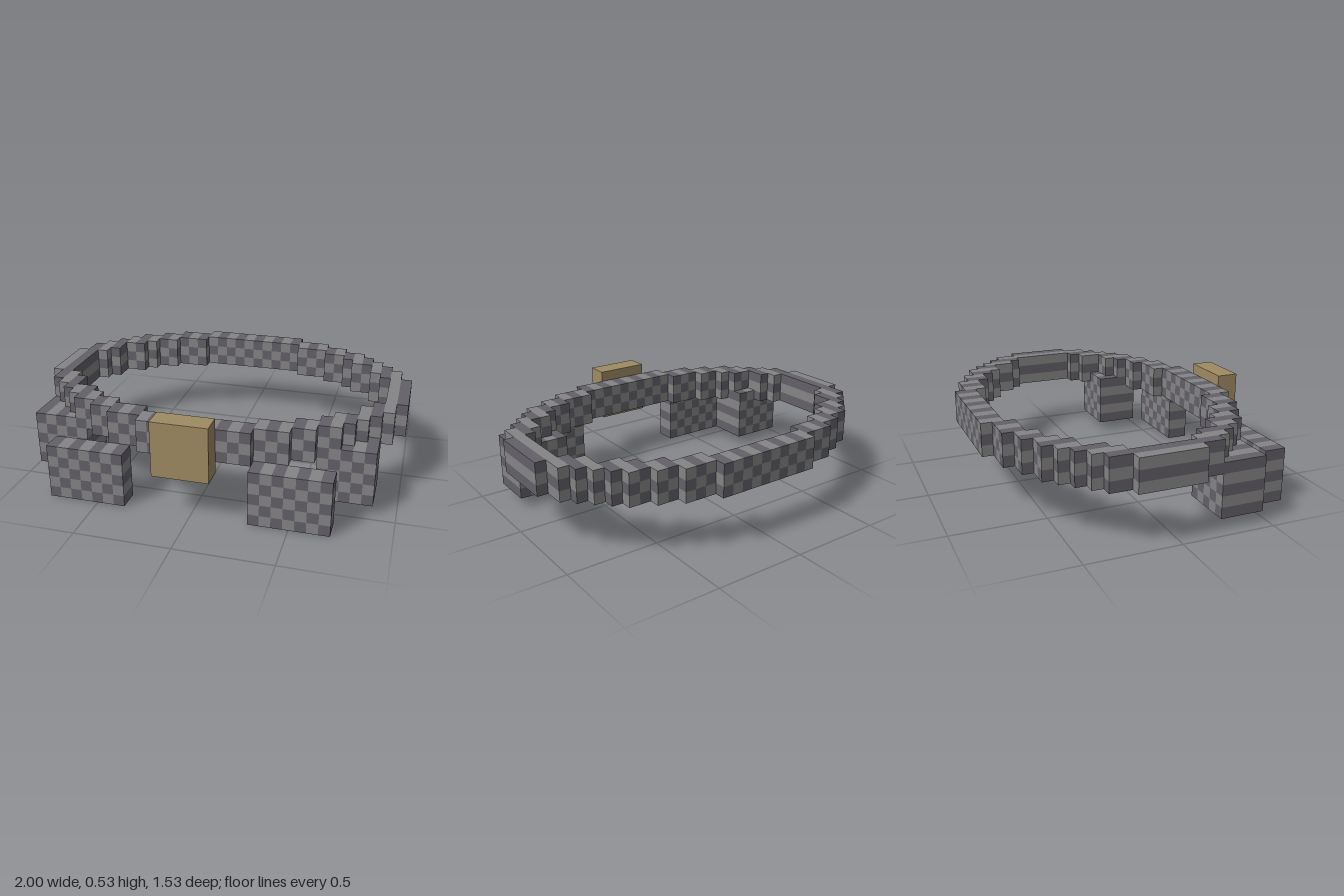
import * as THREE from 'three';
import { mergeGeometries } from 'three/addons/utils/BufferGeometryUtils.js';

const U = 1 / 17; // edge of one block

const lightGrey = new THREE.MeshStandardMaterial({ name: 'lightGrey', color: 0x858587 });
const darkGrey = new THREE.MeshStandardMaterial({ name: 'darkGrey', color: 0x636168 });
const brass = new THREE.MeshStandardMaterial({ name: 'brass', color: 0x9f8b63 });

// The six sides of a block: outward step and the turn that faces a plane that way
const SIDES = [
  [1, 0, 0, 0, Math.PI / 2], [-1, 0, 0, 0, -Math.PI / 2],
  [0, 1, 0, -Math.PI / 2, 0], [0, -1, 0, Math.PI / 2, 0],
  [0, 0, 1, 0, 0], [0, 0, -1, 0, Math.PI],
];

const key = (x, y, z) => `${x},${y},${z}`;

// All blocks inside a box, given as half-open ranges
function fill([x0, x1], [y0, y1], [z0, z1]) {
  const cells = [];
  for (let x = x0; x < x1; x++)
    for (let y = y0; y < y1; y++)
      for (let z = z0; z < z1; z++) cells.push([x, y, z]);
  return cells;
}

// Oval belt: for each column away from the centre, the back and inner z of the band
function beltCells() {
  const runs = [
    [0, 5, -13, -11], [5, 8, -12, -10], [8, 10, -11, -9], [10, 11, -10, -8],
    [11, 12, -10, -7], [12, 13, -9, -7], [13, 14, -8, -5], [14, 15, -7, -4],
    [15, 16, -6, -1], [16, 17, -4, -1],
  ];
  const cells = [];
  for (const [x0, x1, z0, z1] of runs)
    for (const xs of [[x0, x1], [-x1, -x0]])
      for (const zs of [[z0, z1], [-2 - z1, -2 - z0]])
        cells.push(...fill(xs, [5, 8], zs));
  return cells;
}

// Chequered part: only the outside faces, light and dark by block
function chequered(name, cells, occupied) {
  const faces = [[], []];
  for (const [x, y, z] of cells) {
    const shade = Math.abs(x + y) % 2;
    for (const [dx, dy, dz, rx, ry] of SIDES) {
      if (occupied.has(key(x + dx, y + dy, z + dz))) continue;
      const face = new THREE.PlaneGeometry(U, U);
      face.rotateX(rx).rotateY(ry);
      face.translate((x + 0.5 + dx / 2) * U, (y + 0.5 + dy / 2) * U, (z + 0.5 + dz / 2) * U);
      faces[shade].push(face);
    }
  }
  const geometry = mergeGeometries(faces.map((list) => mergeGeometries(list)), true);
  const mesh = new THREE.Mesh(geometry, [lightGrey, darkGrey]);
  mesh.name = name;
  return mesh;
}

export function createModel() {
  const model = new THREE.Group();
  model.name = 'utilityBelt';

  const parts = {
    beltBand: beltCells(),
    frontPouchLeft: fill([5, 12], [0, 5], [10, 12]),
    frontPouchRight: fill([-13, -6], [0, 5], [10, 12]),
    sidePouchLeft: fill([10, 15], [1, 6], [4, 8]),
    sidePouchRight: fill([-16, -11], [1, 6], [4, 8]),
  };

  // Each block belongs to one part, so overlaps leave no doubled faces
  const occupied = new Set();
  for (const name in parts) {
    parts[name] = parts[name].filter((c) => {
      const k = key(...c);
      return !occupied.has(k) && occupied.add(k);
    });
  }
  for (const name in parts) model.add(chequered(name, parts[name], occupied));

  // Buckle plate on the front
  const buckle = new THREE.Mesh(new THREE.BoxGeometry(5 * U, 5 * U, 2 * U), brass);
  buckle.name = 'buckle';
  buckle.position.set(-0.5 * U, 6.5 * U, 12 * U);
  model.add(buckle);

  return model;
}
